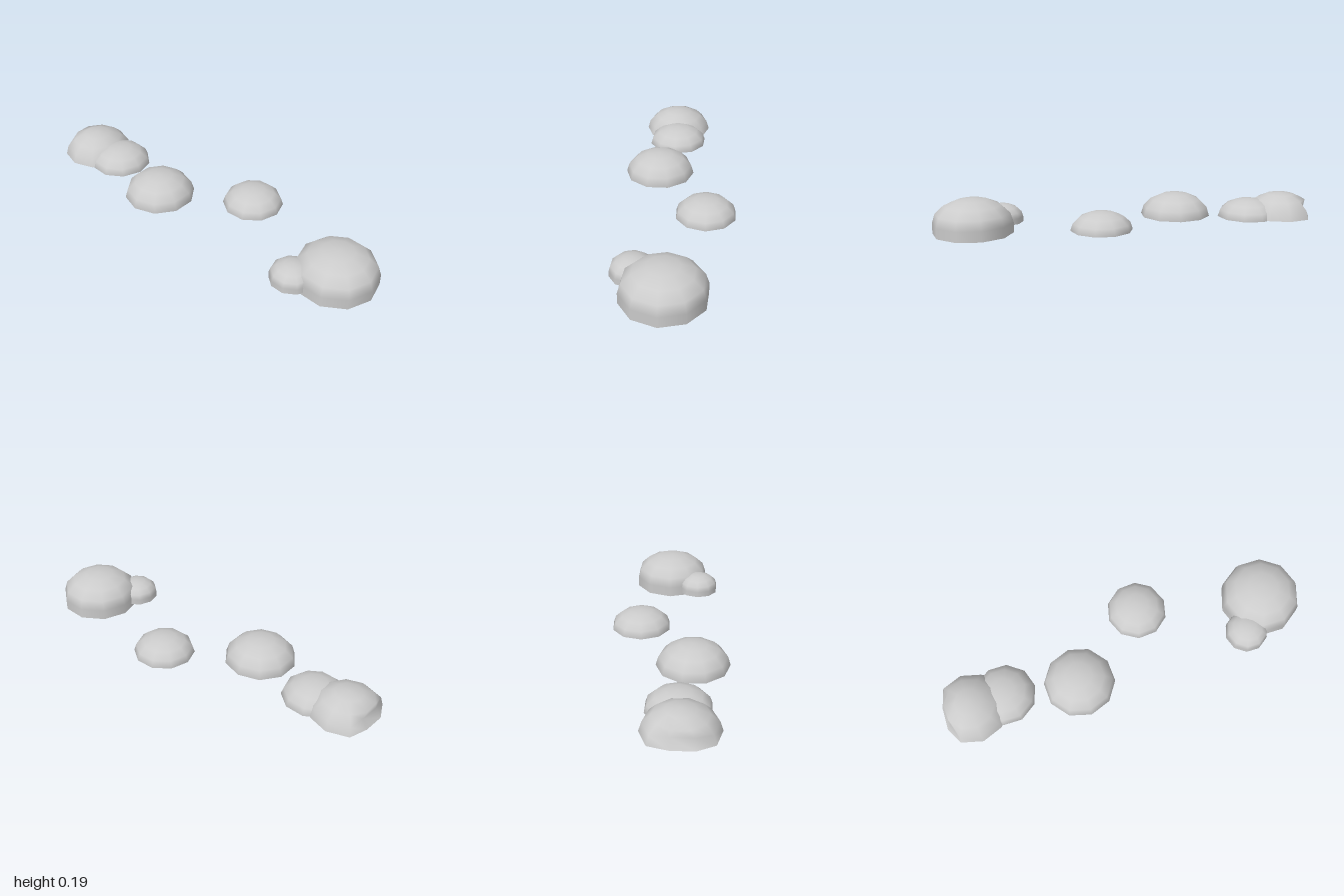
import * as THREE from 'three';
import { mergeVertices } from 'three/addons/utils/BufferGeometryUtils.js';

const material = new THREE.MeshStandardMaterial({ color: 0xcccccc, side: THREE.DoubleSide });

// Open ten-sided dome; an optional straight skirt runs below its rim.
function makeDome({ name, x, y, z, radius, height, skirt = 0, turn = 0, dented = false }) {
  const group = new THREE.Group();
  group.name = name;
  group.position.set(x, y, z);

  let geometry = new THREE.SphereGeometry(1, 10, 4, 0, Math.PI * 2, 0, Math.PI / 2);
  geometry.scale(radius, height, radius);
  geometry.rotateY(THREE.MathUtils.degToRad(turn));
  geometry.translate(0, skirt, 0);

  if (dented) {
    // Press in the outer side: the rim slightly, the ring above it further.
    const p = geometry.attributes.position;
    for (let i = 0; i < p.count; i++) {
      if (p.getX(i) < -0.14) p.setX(i, p.getY(i) < 0.02 ? -0.147 : -0.117);
    }
    geometry.deleteAttribute('uv');
    geometry.deleteAttribute('normal');
    geometry = mergeVertices(geometry);
    geometry.computeVertexNormals();
  }
  const cap = new THREE.Mesh(geometry, material);
  cap.name = 'domeCap';
  group.add(cap);

  if (skirt > 0) {
    const wall = new THREE.CylinderGeometry(radius, radius, skirt, 10, 1, true);
    wall.rotateY(Math.PI / 2 + THREE.MathUtils.degToRad(turn));
    wall.translate(0, skirt / 2, 0);
    const mesh = new THREE.Mesh(wall, material);
    mesh.name = 'domeSkirt';
    group.add(mesh);
  }
  return group;
}

export function createModel() {
  const model = new THREE.Group();
  model.name = 'domeCluster';
  const domes = [
    // Skirted pair on the left side
    { name: 'largeSkirtedDome', x: 0.79, y: 0, z: -0.037, radius: 0.21, height: 0.13, skirt: 0.055 },
    { name: 'smallSkirtedDome', x: 0.652, y: 0.018, z: 0.127, radius: 0.112, height: 0.071, skirt: 0.029 },
    // Free-standing domes in the middle
    { name: 'backDome', x: 0.128, y: 0.038, z: -0.165, radius: 0.16, height: 0.097, turn: 4.5 },
    { name: 'frontDome', x: -0.283, y: 0.043, z: 0.13, radius: 0.187, height: 0.124, turn: -15 },
    // Overlapping pair on the right side
    { name: 'innerPairDome', x: -0.673, y: 0.042, z: 0.077, radius: 0.163, height: 0.097 },
    { name: 'outerPairDome', x: -0.853, y: 0.043, z: 0.096, radius: 0.187, height: 0.124, turn: -14, dented: true },
  ];
  for (const dome of domes) model.add(makeDome(dome));
  return model;
}
